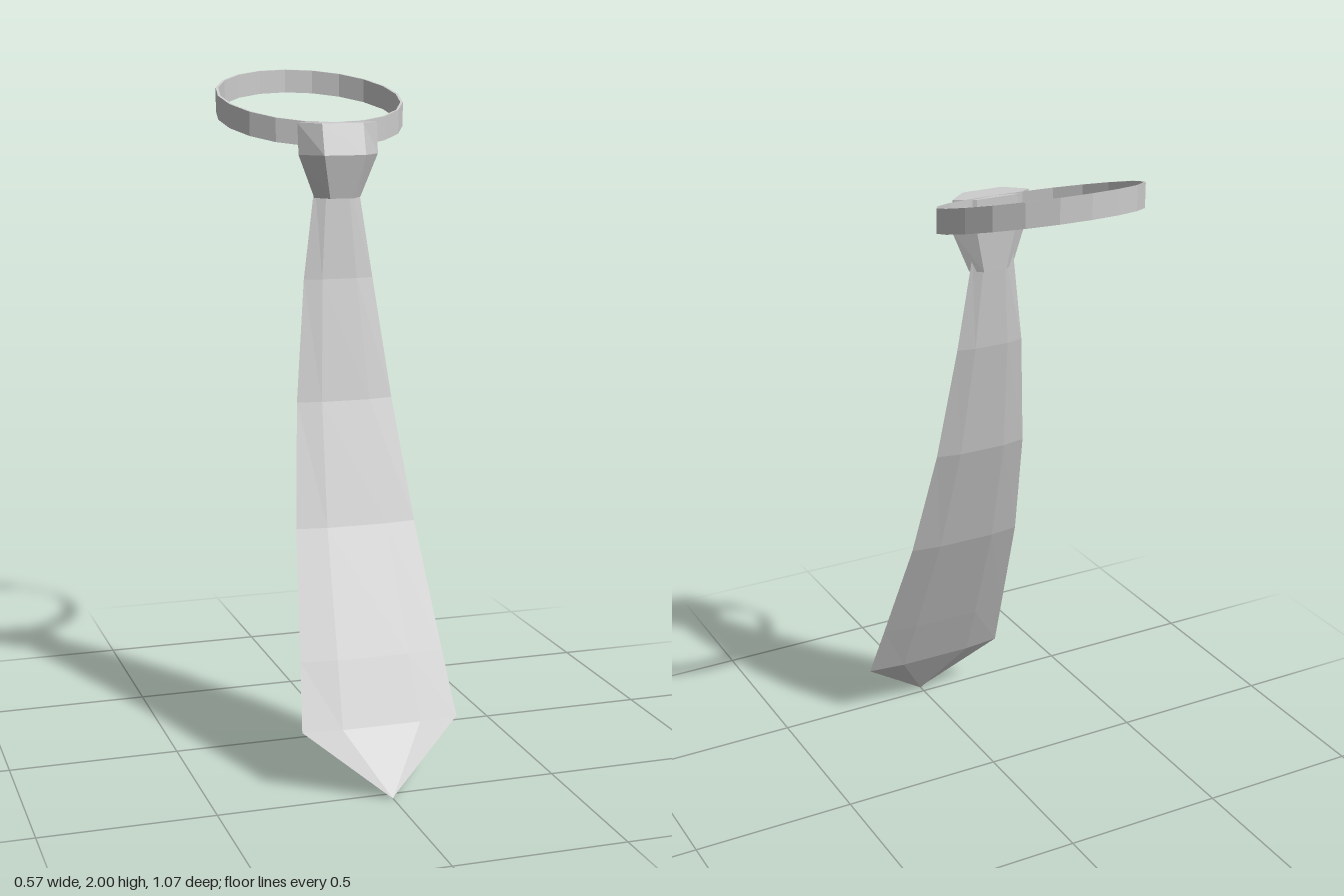
import * as THREE from 'three';

const fabric = new THREE.MeshStandardMaterial({ color: 0xcccccc, flatShading: true });
fabric.name = 'light grey fabric';

// Joins rings of [x, y, z] points, each running from +x towards +z, listed top to bottom.
function loft(name, rings, capped) {
  const n = rings[0].length;
  const index = [];
  for (let r = 0; r < rings.length - 1; r++) {
    for (let j = 0; j < n; j++) {
      const k = (j + 1) % n;
      const a = r * n + j, b = r * n + k, c = a + n, d = b + n;
      index.push(a, b, c, b, d, c);
    }
  }
  if (capped) {
    const last = (rings.length - 1) * n;
    for (let j = 1; j < n - 1; j++) {
      index.push(0, j + 1, j, last, last + j, last + j + 1);
    }
  }
  const indexed = new THREE.BufferGeometry();
  indexed.setAttribute('position', new THREE.Float32BufferAttribute(rings.flat(2), 3));
  indexed.setIndex(index);
  const geometry = indexed.toNonIndexed();
  geometry.computeVertexNormals();
  const mesh = new THREE.Mesh(geometry, fabric);
  mesh.name = name;
  return mesh;
}

// Six-sided section: outer points at the sides, flat panels front and back.
function hexRing(y, w, inner, side, front, back) {
  return [
    [w, y, side], [inner, y, front], [-inner, y, front],
    [-w, y, side], [-inner, y, back], [inner, y, back],
  ];
}

// Ring of the neck band, rising towards the back.
function bandRing(rx, rz, lift) {
  const ring = [];
  for (let i = 0; i < 20; i++) {
    const a = (i / 20) * Math.PI * 2;
    const z = -0.265 + rz * Math.sin(a);
    ring.push([rx * Math.cos(a), 1.79 - z * 0.264 + lift, z]);
  }
  return ring;
}

export function createModel() {
  const tie = new THREE.Group();
  tie.name = 'necktie';

  // Blade: height, half width, front z, back z
  const sections = [
    [1.69, 0.065, 0.016, -0.008],
    [1.41, 0.105, 0.036, 0.011],
    [1.06, 0.145, 0.098, 0.07],
    [0.71, 0.18, 0.205, 0.178],
    [0.36, 0.214, 0.358, 0.327],
    [0.18, 0.232, 0.435, 0.408],
    [0, 0.001, 0.535, 0.525],
  ];
  tie.add(loft('blade', sections.map(([y, w, f, b]) =>
    hexRing(y, w, w * 0.5, (f + b) / 2, f, b)), true));

  // Knot
  tie.add(loft('knot', [
    hexRing(1.86, 0.12, 0.062, 0.015, 0.067, -0.018),
    hexRing(1.77, 0.12, 0.062, 0.025, 0.092, -0.018),
    hexRing(1.645, 0.07, 0.036, 0.015, 0.062, -0.012),
  ], true));

  // Neck band: outer wall, lower edge, inner wall, upper edge
  const outer = [0.283, 0.267], inner = [0.275, 0.264];
  tie.add(loft('neckBand', [
    bandRing(...outer, 0.07), bandRing(...outer, 0),
    bandRing(...inner, 0), bandRing(...inner, 0.07), bandRing(...outer, 0.07),
  ], false));

  return tie;
}
